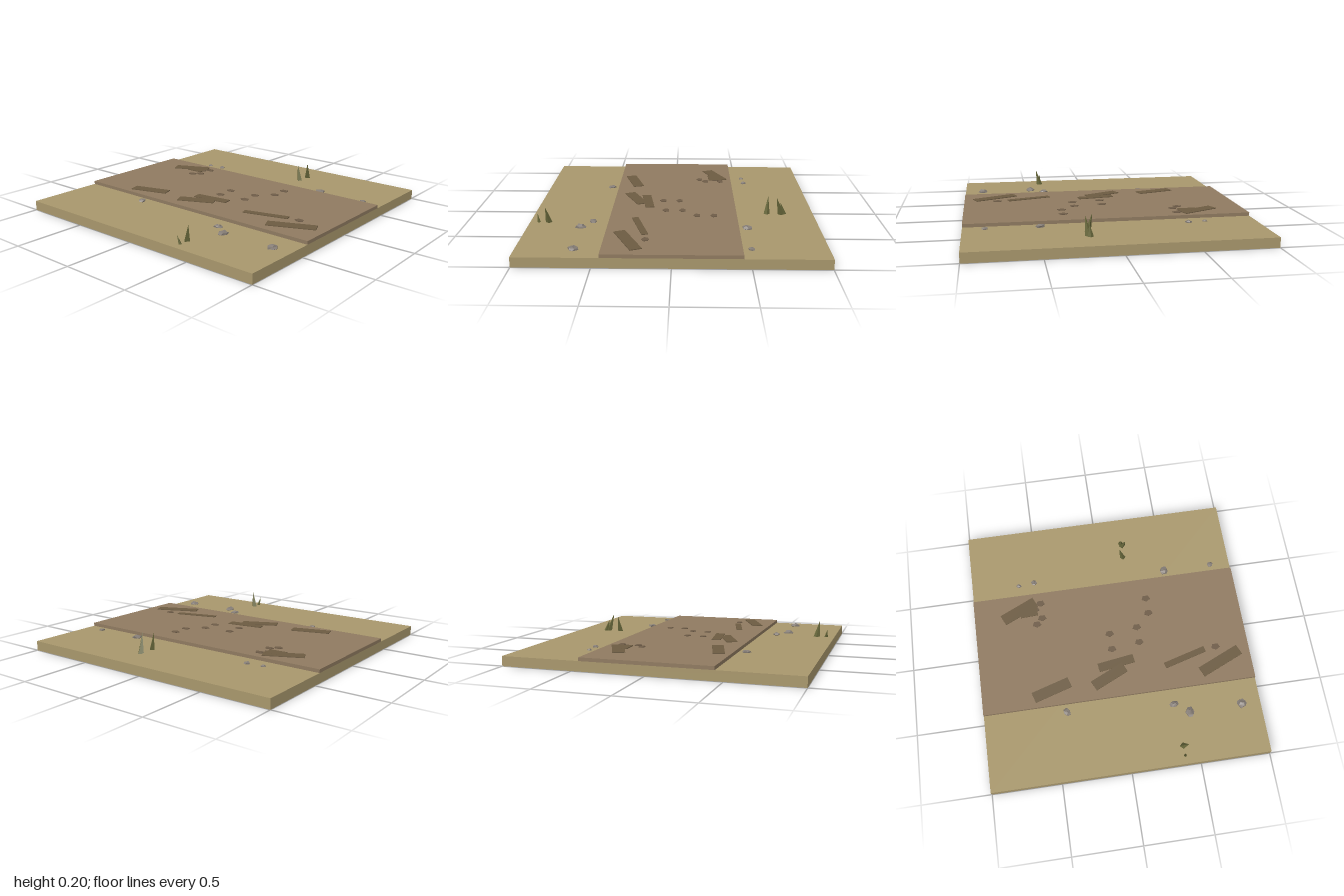
import * as THREE from 'three';

const mat = (color) => new THREE.MeshStandardMaterial({ color, flatShading: true });
const grass = mat(0xa8976c), dirt = mat(0x8f7a60), mud = mat(0x6c5b42);
const print = mat(0x6e5c48), stone = mat(0x857d76), blade = mat(0x66663a);

function add(parent, name, geometry, material, x, y, z, rotY = 0) {
  const mesh = new THREE.Mesh(geometry, material);
  mesh.name = name;
  mesh.position.set(x, y, z);
  mesh.rotation.y = rotY;
  parent.add(mesh);
  return mesh;
}

// Squashed low-poly stone; corners are pushed in and out by a position rule
function rockGeometry(r, seed) {
  const g = new THREE.DodecahedronGeometry(r, 0);
  const p = g.attributes.position;
  const v = new THREE.Vector3();
  for (let i = 0; i < p.count; i++) {
    v.fromBufferAttribute(p, i);
    const k = 0.93 + 0.14 * Math.sin(Math.round(v.x / r * 10) * 1.7 + Math.round(v.y / r * 10) * 2.3
      + Math.round(v.z / r * 10) * 3.1 + seed);
    p.setXYZ(i, v.x * k, v.y * k * 0.55, v.z * k * 0.95);
  }
  g.computeVertexNormals();
  return g;
}

// Three-sided spike whose tip is sheared sideways
function bladeGeometry(r, h, dx, dz) {
  const g = new THREE.ConeGeometry(r, h, 4, 1).translate(0, h / 2, 0);
  const p = g.attributes.position;
  for (let i = 0; i < p.count; i++) {
    const t = p.getY(i) / h;
    p.setX(i, p.getX(i) + dx * t);
    p.setZ(i, p.getZ(i) + dz * t);
  }
  g.computeVertexNormals();
  return g;
}

export function createModel() {
  const model = new THREE.Group();
  model.name = 'dirtRoadTile';

  // Ground slab and raised road
  add(model, 'ground', new THREE.BoxGeometry(2, 0.068, 2), grass, 0, 0.034, 0);
  add(model, 'road', new THREE.BoxGeometry(2, 0.024, 0.894), dirt, 0, 0.08, 0);

  // Mud streaks: x, z, length, width, angle
  const streaks = new THREE.Group();
  streaks.name = 'mudStreaks';
  [
    [-0.66, -0.32, 0.28, 0.085, 0.43],
    [-0.59, -0.31, 0.13, 0.09, 0.05],
    [-0.49, 0.33, 0.285, 0.08, 0.29],
    [0.005, 0.195, 0.27, 0.065, 0.14],
    [-0.06, 0.29, 0.27, 0.08, 0.43],
    [0.515, 0.225, 0.325, 0.045, 0.27],
    [0.77, 0.29, 0.335, 0.08, 0.41],
  ].forEach(([x, z, l, w, a], i) =>
    add(streaks, 'mudStreak', new THREE.BoxGeometry(l, 0.01, w), mud, x, 0.092 + i * 0.0001, z, a));
  model.add(streaks);

  // Five-sided footprints
  const prints = new THREE.Group();
  prints.name = 'footprints';
  const printGeo = new THREE.CylinderGeometry(0.034, 0.034, 0.008, 5).scale(1, 1, 0.75);
  [
    [-0.495, -0.36], [-0.54, -0.315], [-0.495, -0.24], [-0.54, -0.195],
    [0.305, -0.285], [0.305, -0.165], [-0.01, -0.04], [-0.01, 0.082],
    [0.2, -0.063], [0.2, 0.057], [0.755, 0.175], [0.755, 0.292],
  ].forEach(([x, z]) => add(prints, 'footprint', printGeo, print, x, 0.0925, z));
  model.add(prints);

  // Verge stones: x, z, radius
  const rocks = new THREE.Group();
  rocks.name = 'rocks';
  [
    [-0.645, -0.54, 0.02], [-0.525, -0.55, 0.026], [0.485, -0.505, 0.038], [0.85, -0.505, 0.025],
    [-0.4, 0.505, 0.031], [0.375, 0.56, 0.032], [0.48, 0.635, 0.041], [0.865, 0.625, 0.042],
  ].forEach(([x, z, r], i) => add(rocks, 'rock', rockGeometry(r, i), stone, x, 0.07, z, i * 1.3));
  model.add(rocks);

  // Grass blades: x, z, radius, height, tip offset x, tip offset z
  const blades = new THREE.Group();
  blades.name = 'grassBlades';
  [
    [0.188, -0.668, 0.022, 0.125, -0.028, -0.01],
    [0.195, -0.77, 0.024, 0.132, 0.02, 0.037],
    [0.185, -0.79, 0.02, 0.085, 0.006, 0.025],
    [0.385, 0.868, 0.024, 0.12, 0.028, 0.018],
    [0.39, 0.938, 0.013, 0.065, -0.015, 0.012],
  ].forEach(([x, z, r, h, dx, dz]) =>
    add(blades, 'grassBlade', bladeGeometry(r, h, dx, dz), blade, x, 0.066, z));
  model.add(blades);

  return model;
}
